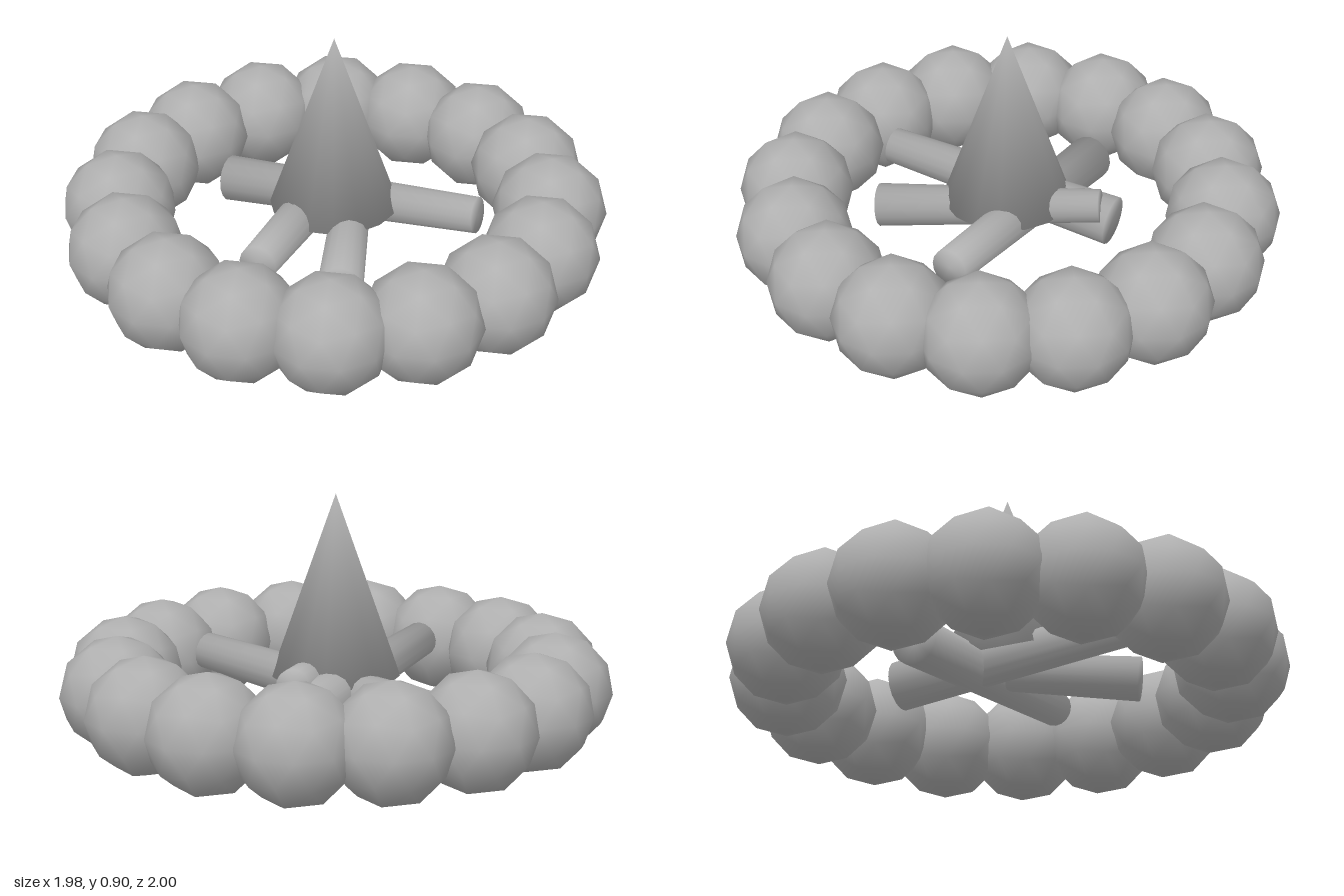
import * as THREE from 'three';

const grey = new THREE.MeshStandardMaterial({ color: 0xb0b0b0 });
grey.name = 'plain grey';

// Closed tapered solid along +y; the rims share one soft normal between side and cap.
function taperedSolid(rBottom, rTop, height, sides) {
  const profile = [[0, 0], [rBottom, 0], [rTop, height], [0, height]];
  let tilts = [[0, -1], [0.75, -0.65], [0.75, 0.65], [0, 1]]; // outward, upward
  if (rTop === 0) {
    profile.pop();
    tilts = [[0, -1], [0.83, -0.55], [0, 1]];
  }
  const geometry = new THREE.LatheGeometry(profile.map(p => new THREE.Vector2(...p)), sides);
  const normal = geometry.attributes.normal;
  for (let i = 0; i < normal.count; i++) {
    const phi = Math.floor(i / profile.length) / sides * Math.PI * 2;
    const [out, up] = tilts[i % profile.length];
    normal.setXYZ(i, out * Math.sin(phi), up, out * Math.cos(phi));
  }
  return geometry;
}

function add(parent, name, geometry) {
  const mesh = new THREE.Mesh(geometry, grey);
  mesh.name = name;
  parent.add(mesh);
  return mesh;
}

export function createModel() {
  const model = new THREE.Group();
  model.name = 'campfire';

  // Ring of sixteen round stones, each with a vertex at its top
  const stones = new THREE.Group();
  stones.name = 'stoneRing';
  model.add(stones);
  const stone = new THREE.IcosahedronGeometry(0.21, 1);
  stone.rotateZ(-Math.atan(2 / (1 + Math.sqrt(5))));
  for (let i = 0; i < 16; i++) {
    const a = i / 16 * Math.PI * 2;
    add(stones, 'stone', stone).position.set(0.79 * Math.sin(a), 0.213, 0.79 * Math.cos(a));
  }

  // Three crossed, tapered logs, thick end first
  const logs = new THREE.Group();
  logs.name = 'logs';
  model.add(logs);
  const up = new THREE.Vector3(0, 1, 0);
  for (const [from, to, rThick, rThin] of [
    [[-0.085, 0.17, -0.48], [0.265, 0.27, 0.465], 0.087, 0.067],
    [[0.32, 0.195, -0.235], [-0.51, 0.265, 0.148], 0.09, 0.067],
    [[-0.312, 0.18, 0.352], [0.312, 0.28, -0.18], 0.08, 0.06],
  ]) {
    const start = new THREE.Vector3(...from);
    const along = new THREE.Vector3(...to).sub(start);
    const log = add(logs, 'log', taperedSolid(rThick, rThin, along.length(), 16));
    log.position.copy(start);
    log.quaternion.setFromUnitVectors(up, along.normalize());
  }

  // Pointed flame
  add(model, 'flame', taperedSolid(0.235, 0, 0.66, 16)).position.y = 0.24;

  return model;
}
